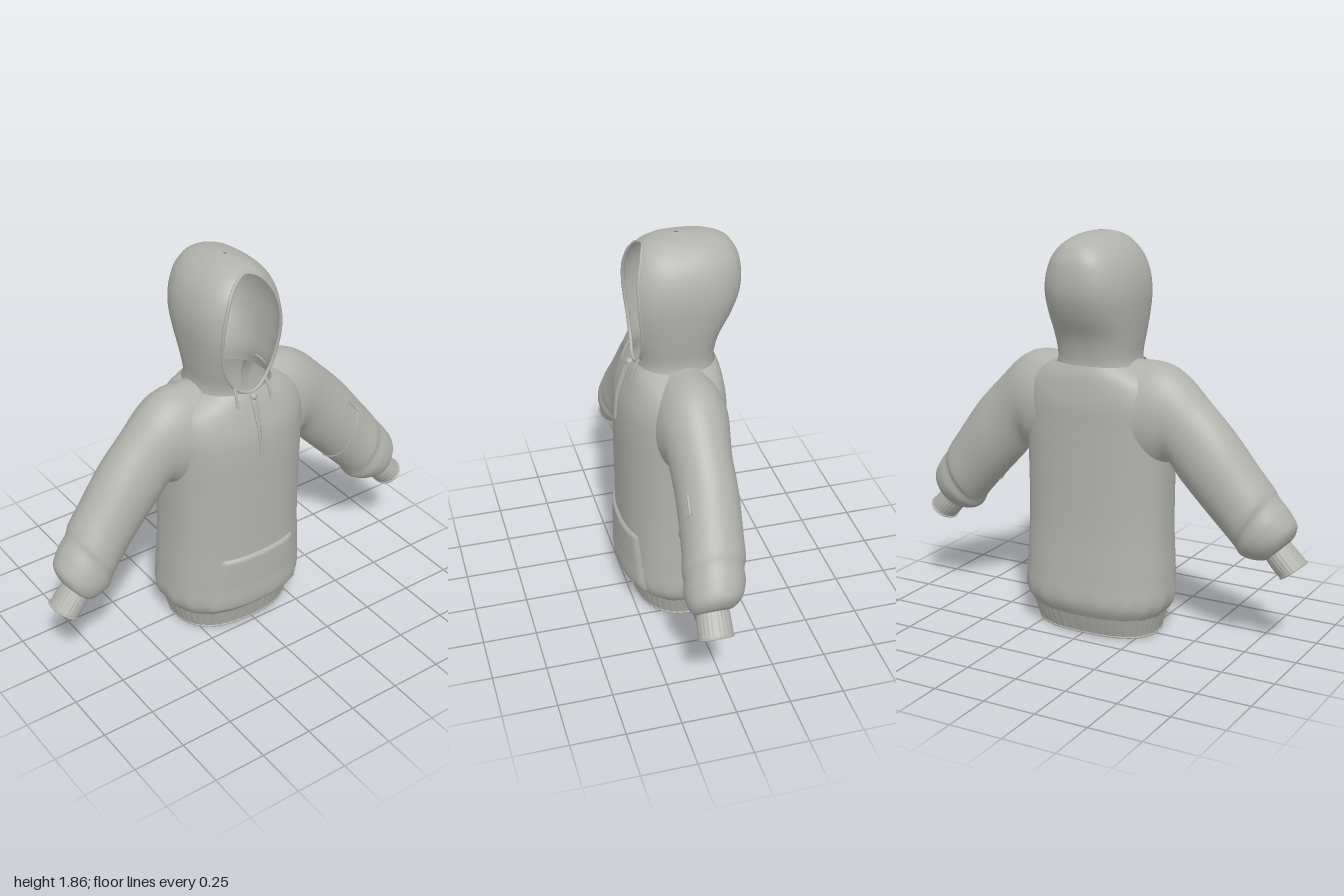
import * as THREE from 'three';

const cloth = new THREE.MeshStandardMaterial({ color: 0xb2b2ad, side: THREE.DoubleSide });
cloth.name = 'grey cloth';

// Smooth interpolation through rows of [key, a, b, c...]
function spline(rows) {
  const stride = rows[0].length - 1;
  const keys = new Float32Array(rows.map(r => r[0]));
  const values = new Float32Array(rows.flatMap(r => r.slice(1)));
  const it = new THREE.CubicInterpolant(keys, values, stride);
  return t => Array.from(it.evaluate(Math.min(Math.max(t, keys[0]), keys[keys.length - 1])));
}

// Grid surface: fn(u, row) -> [x, y, z]; closed grids share the first and last column
function surface(name, cols, rows, closed, fn) {
  const pos = [], idx = [], n = closed ? cols : cols + 1;
  rows.forEach(r => {
    for (let j = 0; j < n; j++) pos.push(...fn(j / cols, r));
  });
  for (let i = 0; i < rows.length - 1; i++) {
    for (let j = 0; j < cols; j++) {
      const a = i * n + j, b = i * n + (j + 1) % n;
      idx.push(a, b, b + n, a, b + n, a + n);
    }
  }
  const g = new THREE.BufferGeometry();
  g.setAttribute('position', new THREE.Float32BufferAttribute(pos, 3));
  g.setIndex(idx);
  g.computeVertexNormals();
  const m = new THREE.Mesh(g, cloth);
  m.name = name;
  return m;
}

function tube(name, points, radius, closed = false) {
  const curve = new THREE.CatmullRomCurve3(points.map(p => new THREE.Vector3(...p)), closed);
  const m = new THREE.Mesh(new THREE.TubeGeometry(curve, points.length * 4, radius, 8, closed), cloth);
  m.name = name;
  return m;
}

const range = (a, b, n) => Array.from({ length: n + 1 }, (_, i) => a + (b - a) * i / n);
const ROUND = 2.4;

// Horizontal section with half width w, back depth b and front depth f
function section(angle, y, [w, b, f], swell = 1) {
  const s = Math.sin(angle), c = Math.cos(angle);
  const k = v => Math.sign(v) * Math.abs(v) ** (2 / ROUND);
  return [w * k(s) * swell, y, (c > 0 ? f : b) * k(c) * swell];
}

// [y, half width, back, front]
const torsoAt = spline([
  [0.10, 0.325, 0.20, 0.245], [0.125, 0.345, 0.215, 0.265], [0.16, 0.36, 0.228, 0.278],
  [0.28, 0.36, 0.222, 0.28], [0.5, 0.35, 0.205, 0.28], [0.8, 0.352, 0.20, 0.282],
  [1.0, 0.36, 0.20, 0.28], [1.1, 0.36, 0.20, 0.268], [1.18, 0.335, 0.19, 0.243],
  [1.24, 0.27, 0.178, 0.22], [1.275, 0.2, 0.163, 0.2],
]);
const hemAt = spline([
  [0, 0.298, 0.165, 0.222], [0.06, 0.315, 0.186, 0.236], [0.12, 0.332, 0.205, 0.25],
]);
const hoodAt = spline([
  [1.23, 0.2, 0.16, 0.2], [1.3, 0.187, 0.16, 0.198], [1.4, 0.198, 0.185, 0.225],
  [1.5, 0.21, 0.24, 0.25], [1.6, 0.216, 0.277, 0.255], [1.7, 0.2, 0.28, 0.24],
  [1.78, 0.16, 0.255, 0.2], [1.83, 0.105, 0.2, 0.15], [1.855, 0.055, 0.11, 0.08],
  [1.864, 0.005, 0.01, 0.01],
]);

const frontZ = (x, y) => {
  const [w, , f] = torsoAt(y);
  return f * (1 - Math.min(1, Math.abs(x / w)) ** ROUND) ** (1 / ROUND);
};

// Face opening: an oval from y 1.27 to 1.83
const openingAngle = y => {
  const o = 0.153 * Math.sqrt(Math.max(0, 1 - ((y - 1.55) / 0.28) ** 2));
  return Math.asin(Math.min(1, o / hoodAt(y)[0]) ** (ROUND / 2));
};

// Sleeve: [step, upper x, upper y, lower x, lower y, centre z, half depth]
const sleeveAt = spline([
  [0, 0.18, 1.295, 0.24, 0.80, 0.01, 0.175],
  [1, 0.32, 1.292, 0.31, 0.81, 0.01, 0.165],
  [2, 0.42, 1.245, 0.37, 0.84, 0.012, 0.148],
  [3, 0.53, 1.14, 0.43, 0.765, 0.015, 0.137],
  [4, 0.65, 1.015, 0.52, 0.67, 0.018, 0.138],
  [5, 0.77, 0.86, 0.62, 0.565, 0.03, 0.138],
  [6, 0.835, 0.775, 0.675, 0.505, 0.04, 0.142],
  [7, 0.86, 0.735, 0.69, 0.48, 0.046, 0.133],
  [8, 0.905, 0.68, 0.71, 0.452, 0.052, 0.137],
  [9, 0.945, 0.615, 0.75, 0.436, 0.062, 0.122],
  [10, 0.937, 0.56, 0.795, 0.432, 0.072, 0.098],
  [11, 0.912, 0.522, 0.822, 0.437, 0.078, 0.075],
]);
const cuffAt = spline([
  [0, 0.908, 0.53, 0.815, 0.44, 0.077, 0.072],
  [1, 0.952, 0.486, 0.85, 0.398, 0.08, 0.076],
  [2, 0.996, 0.44, 0.888, 0.358, 0.083, 0.077],
]);
function ring(u, [tx, ty, bx, by, zc, rz], side, swell = 1) {
  const a = u * Math.PI * 2, c = Math.cos(a) * swell / 2;
  return [side * ((tx + bx) / 2 + (tx - bx) * c), (ty + by) / 2 + (ty - by) * c,
    zc + side * Math.sin(a) * rz * swell];
}

export function createModel() {
  const model = new THREE.Group();
  model.name = 'hooded sweatshirt';
  const TAU = Math.PI * 2;

  // Torso, softly gathered above the hem
  model.add(surface('torso', 96, range(0.1, 1.275, 56), true, (u, y) =>
    section(u * TAU, y, torsoAt(y), 1 + 0.008 * Math.exp(-(((y - 0.15) / 0.05) ** 2)) * Math.sin(u * TAU * 17))));

  // Ribbed hem with a rolled lower edge
  const rib = (u, n, amp) => 1 + amp * Math.cos(u * TAU * n);
  model.add(surface('hem', 240, range(0, 0.12, 6), true, (u, y) =>
    section(u * TAU, y, hemAt(y), rib(u, 48, 0.006))));
  model.add(tube('hemEdge', range(0, 63 / 64, 63).map(u => section(u * TAU, 0.006, hemAt(0))), 0.006, true));

  // Hood, with rows bunched towards both ends of the face opening
  const openRows = range(0, Math.PI, 40).map(t => 1.55 - 0.28 * Math.cos(t));
  const topRows = range(0, Math.PI / 2, 8).slice(1).map(t => 1.83 + 0.034 * Math.sin(t));
  model.add(surface('hood', 64, [1.23, 1.25, ...openRows, ...topRows], false, (u, y) => {
    const a = openingAngle(y);
    return section(a + u * (TAU - 2 * a), y, hoodAt(y));
  }));

  // Rolled rim around the face opening
  const rim = s => openRows.map(y => section(s * openingAngle(y), y, hoodAt(y)));
  model.add(tube('hoodRim', [...rim(1), ...rim(-1).reverse().slice(1, -1)], 0.008, true));

  // Front pouch pocket, padded and sinking into the torso at its edge
  model.add(surface('pouchPocket', 40, range(0, 1, 30), false, (u, v) => {
    const x = 0.01 + (u * 2 - 1) * (0.262 - 0.057 * v), y = 0.13 + 0.31 * v;
    const edge = Math.min(1, Math.min(u, 1 - u, v, 1 - v) / 0.05);
    return [x, y, frontZ(x, y) - 0.004 + 0.017 * Math.sqrt(edge)];
  }));

  // Placket strands, knot and short cord ends
  for (const s of [-1, 1]) {
    model.add(tube('placketStrand', range(1.26, 0.97, 8).map((y, i) => {
      const x = s * 0.013 * (1 - i / 11);
      return [x, y, frontZ(x, y) + 0.006];
    }), 0.006));
    model.add(tube('cordEnd', [[s * 0.082, 1.32, 0.185], [s * 0.087, 1.28, 0.21],
      [s * 0.09, 1.225, 0.228]], 0.007));
  }
  const knot = new THREE.Mesh(new THREE.SphereGeometry(0.018, 12, 8), cloth);
  knot.name = 'knot';
  knot.position.set(0, 1.255, 0.216);
  model.add(knot);

  // Sleeves with ribbed cuffs
  for (const side of [-1, 1]) {
    const sleeve = new THREE.Group();
    sleeve.name = side > 0 ? 'leftSleeve' : 'rightSleeve';
    sleeve.add(surface('sleeve', 40, range(0, 11, 66), true, (u, t) => ring(u, sleeveAt(t), side)));
    sleeve.add(surface('cuff', 120, range(0, 2, 6), true, (u, t) => ring(u, cuffAt(t), side, rib(u, 24, 0.012))));
    sleeve.add(tube('cuffEdge', range(0, 31 / 32, 31).map(u => ring(u, cuffAt(1.95), side)), 0.005, true));
    model.add(sleeve);
  }

  // Stitched seam with a small tab on the left sleeve
  model.add(tube('sleeveSeam', range(0.12, 0.5, 12).map(u => ring(u, sleeveAt(4.5), 1)), 0.005));
  model.add(tube('sleeveTab', range(4.5, 4.05, 4).map(t => ring(0.14, sleeveAt(t), 1)), 0.006));

  return model;
}
